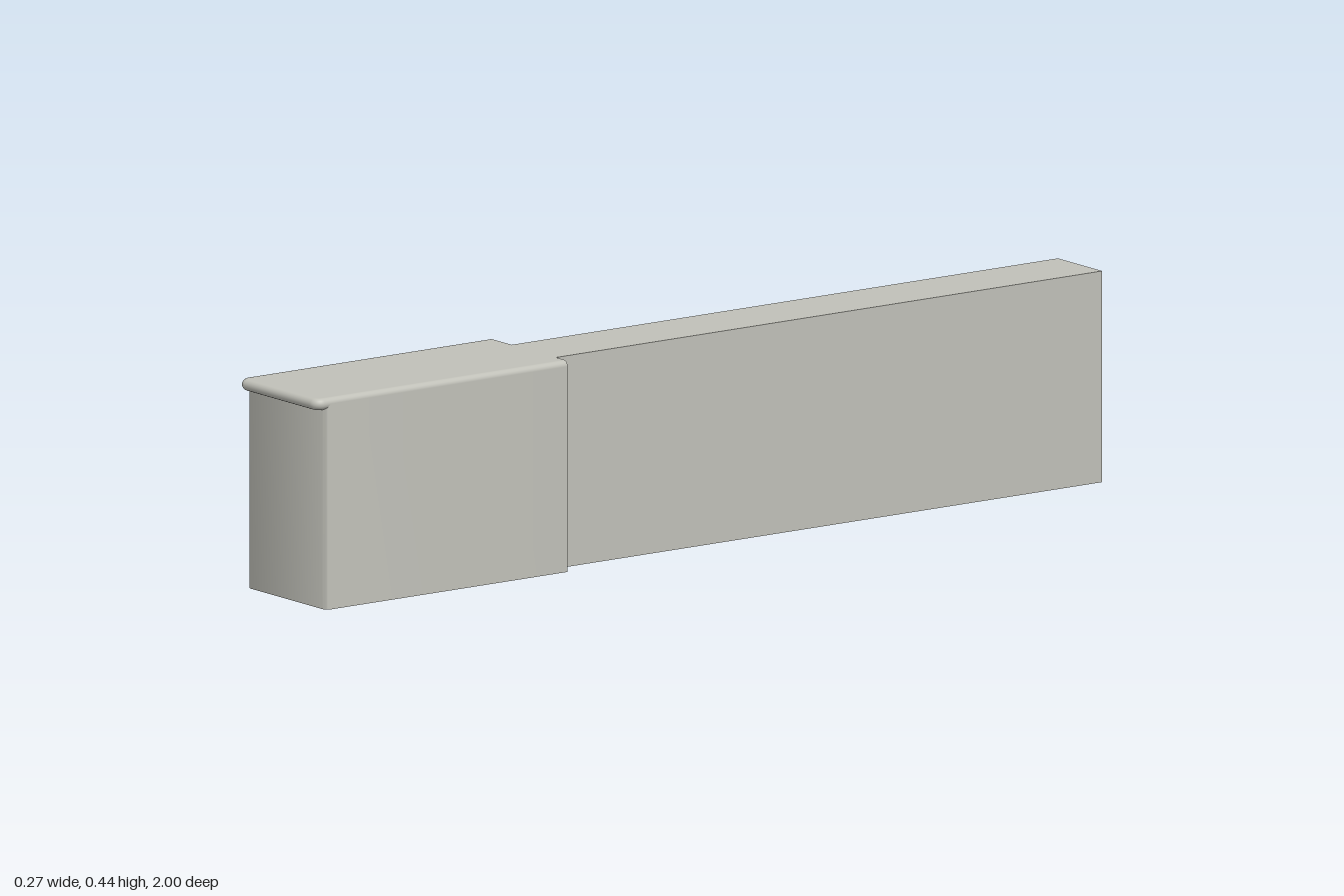
import * as THREE from 'three';
import { toCreasedNormals } from 'three/addons/utils/BufferGeometryUtils.js';

const HALF = 0.133, BACK = 0.37, TOP = 0.435, R = 0.012;

// Plan outline (x, z) from back right, round the front corners, to back left,
// with the outward normal at each point
function outline(half, front, radius) {
  const pts = [{ x: half, z: BACK, nx: 1, nz: 0 }];
  const steps = 8;
  for (const side of [1, -1]) {
    for (let i = 0; i <= steps; i++) {
      const t = (side > 0 ? i : steps - i) / steps * Math.PI / 2;
      const nx = side * Math.cos(t), nz = Math.sin(t);
      pts.push({ x: side * (half - radius) + radius * nx, z: front - radius + radius * nz, nx, nz });
    }
  }
  pts.push({ x: -half, z: BACK, nx: -1, nz: 0 });
  return pts;
}

// Half-round edge swept along the sides and front of the lid
function roundedEdge(path, radius, yMid) {
  const rows = 10, n = path.length, pos = [], nor = [], idx = [];
  for (let j = 0; j <= rows; j++) {
    const a = -Math.PI / 2 + Math.PI * j / rows, c = Math.cos(a), s = Math.sin(a);
    for (const p of path) {
      pos.push(p.x - p.nx * radius * (1 - c), yMid + radius * s, p.z - p.nz * radius * (1 - c));
      nor.push(p.nx * c, s, p.nz * c);
    }
  }
  for (let j = 0; j < rows; j++) {
    for (let i = 0; i < n - 1; i++) {
      const a = j * n + i, b = a + 1, c = a + n, d = c + 1;
      idx.push(a, c, b, b, c, d);
    }
  }
  const g = new THREE.BufferGeometry();
  g.setAttribute('position', new THREE.Float32BufferAttribute(pos, 3));
  g.setAttribute('normal', new THREE.Float32BufferAttribute(nor, 3));
  g.setIndex(idx);
  return g;
}

export function createModel() {
  const group = new THREE.Group();
  const stone = new THREE.MeshStandardMaterial({ color: 0xc0c0b8, side: THREE.DoubleSide });
  stone.name = 'warm grey';
  const add = (name, geometry, parent = group) => {
    const mesh = new THREE.Mesh(geometry, stone);
    mesh.name = name;
    parent.add(mesh);
    return mesh;
  };

  // Long narrow body, set slightly off centre
  const x0 = -0.055, x1 = 0.094;
  add('longBody', new THREE.BoxGeometry(x1 - x0, TOP, BACK + 1))
    .position.set((x0 + x1) / 2, TOP / 2, (BACK - 1) / 2);

  // Wider front block with softened upright corners
  const plan = outline(HALF, 0.976, R).map(p => new THREE.Vector2(p.x, -p.z));
  const block = new THREE.ExtrudeGeometry(new THREE.Shape(plan), { depth: TOP - R, bevelEnabled: false });
  block.rotateX(-Math.PI / 2);
  add('frontBlock', toCreasedNormals(block, 0.6));

  // Lid with a rounded lip overhanging the front
  const lid = new THREE.Group();
  lid.name = 'lid';
  group.add(lid);
  const rim = outline(HALF, 1, 0.022);
  add('lidEdge', roundedEdge(rim, R, TOP - R), lid);
  const inner = new THREE.Shape(rim.map(p => new THREE.Vector2(p.x - p.nx * R, -(p.z - p.nz * R))));
  add('lidTop', new THREE.ShapeGeometry(inner).rotateX(-Math.PI / 2), lid).position.y = TOP;
  add('lidUnderside', new THREE.ShapeGeometry(inner).rotateX(-Math.PI / 2), lid).position.y = TOP - 2 * R;

  // Flat back end of the lid
  const end = new THREE.Shape();
  end.absarc(HALF - R, 0, R, -Math.PI / 2, Math.PI / 2, false);
  end.absarc(-HALF + R, 0, R, Math.PI / 2, Math.PI * 1.5, false);
  add('lidBack', new THREE.ShapeGeometry(end).rotateY(Math.PI), lid).position.set(0, TOP - R, BACK);

  return group;
}
